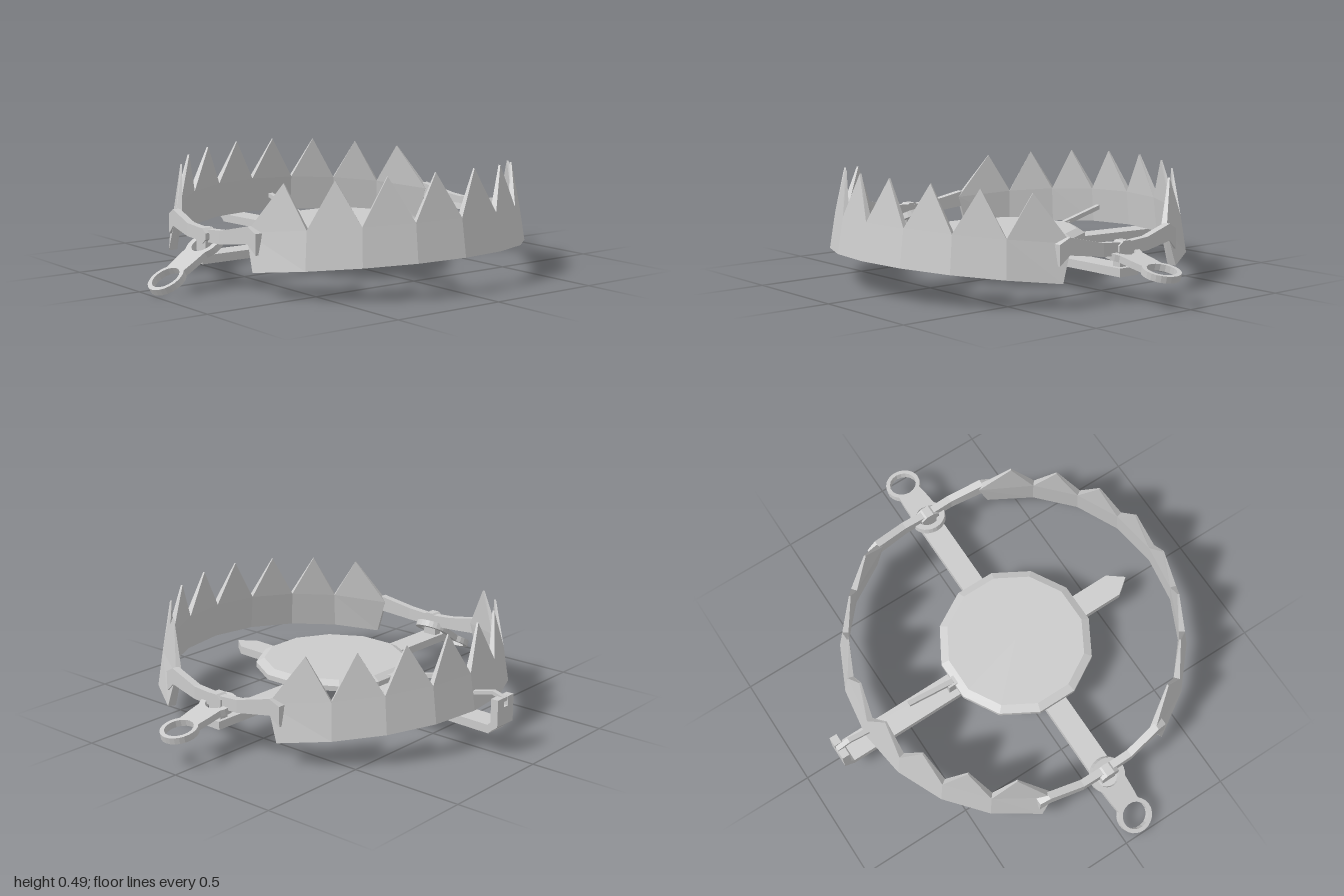
import * as THREE from 'three';

const CX = -0.015, CZ = 0.065; // centre of the jaw ring
const material = new THREE.MeshStandardMaterial({ color: 0xcccccc, flatShading: true, side: THREE.DoubleSide });

function add(parent, name, geometry, x = 0, y = 0, z = 0) {
  const mesh = new THREE.Mesh(geometry, material);
  mesh.name = name;
  mesh.position.set(x, y, z);
  parent.add(mesh);
  return mesh;
}

function box(parent, name, x0, x1, y0, y1, z0, z1) {
  return add(parent, name, new THREE.BoxGeometry(x1 - x0, y1 - y0, z1 - z0),
    (x0 + x1) / 2, (y0 + y1) / 2, (z0 + z1) / 2);
}

// Solid through a row of closed cross-sections, capped at both ends
function loft(sections) {
  const pos = [];
  const tri = (a, b, c) => pos.push(...a, ...b, ...c);
  const n = sections[0].length;
  for (let i = 0; i < sections.length - 1; i++) {
    for (let j = 0; j < n; j++) {
      const k = (j + 1) % n, s = sections[i], t = sections[i + 1];
      tri(s[j], s[k], t[k]);
      tri(s[j], t[k], t[j]);
    }
  }
  const first = sections[0], last = sections[sections.length - 1];
  for (let j = 1; j < n - 1; j++) {
    tri(first[0], first[j + 1], first[j]);
    tri(last[0], last[j], last[j + 1]);
  }
  const geometry = new THREE.BufferGeometry();
  geometry.setAttribute('position', new THREE.Float32BufferAttribute(pos, 3));
  geometry.computeVertexNormals();
  return geometry;
}

// Half ring with eight teeth and two hinge arms, opening toward +z
function makeJaw(name) {
  const jaw = new THREE.Group();
  jaw.name = name;
  const teeth = 8, R = 0.765, end = THREE.MathUtils.degToRad(66);
  const point = (a, r, h) => [Math.sin(a) * r, 0.07 + 0.105 * Math.cos(a) * R + h, Math.cos(a) * r];

  const wall = [];
  for (let i = 0; i <= teeth; i++) {
    const a = -end + (2 * end * i) / teeth;
    const top = i === 0 || i === teeth ? a * 1.05 : a; // slanted ends
    wall.push([point(a, R - 0.035, 0), point(top, R - 0.052, 0.155), point(top, R - 0.025, 0.155), point(a, R, 0)]);
  }
  add(jaw, 'jawBand', loft(wall));

  for (let i = 0; i < teeth; i++) {
    const [A, B] = [wall[i], wall[i + 1]];
    const a = -end + (2 * end * (i + 0.5)) / teeth;
    const outer = point(a, R - 0.06, 0.338), inner = point(a, R - 0.068, 0.338);
    add(jaw, 'tooth', loft([[A[1], A[2], B[2], B[1]], [inner, outer, outer, inner]]));
  }

  // Arm stations: outer x, z, bottom, top
  const stations = [[0.69, 0.32, 0.17, 0.255], [0.698, 0.275, 0.21, 0.28], [0.724, 0.12, 0.19, 0.245], [0.724, -0.02, 0.185, 0.235]];
  for (const side of [1, -1]) {
    const sections = stations.map(([x, z, y0, y1]) => {
      const loop = [[x - 0.033, y0, z], [x - 0.033, y1, z], [x, y1, z], [x, y0, z]].map(p => [p[0] * side, p[1], p[2]]);
      return side > 0 ? loop : loop.reverse();
    });
    add(jaw, 'hingeArm', loft(sections));
  }
  jaw.position.set(CX, 0, CZ);
  return jaw;
}

// Flat spring link with an eye at each end, lying along +x from its hinge
function springGeometry(length) {
  const r = 0.078, shape = new THREE.Shape();
  shape.absarc(0, 0, r, 0.9, Math.PI * 2 - 0.9, false);
  shape.lineTo(length * 0.5, -0.058);
  shape.absarc(length, 0, r, -Math.PI + 0.75, Math.PI - 0.75, false);
  shape.lineTo(length * 0.5, 0.058);
  shape.closePath();
  for (const [x, radius] of [[0, 0.052], [length, 0.06]]) {
    const hole = new THREE.Path();
    hole.absarc(x, 0, radius, 0, Math.PI * 2, true);
    shape.holes.push(hole);
  }
  const geometry = new THREE.ExtrudeGeometry(shape, { depth: 0.028, bevelEnabled: false, curveSegments: 9 });
  return geometry.translate(0, 0, -0.014).rotateX(-Math.PI / 2);
}

function makeSpring(name, x, y, tilt, yaw) {
  const spring = new THREE.Group();
  spring.name = name;
  add(spring, 'springLink', springGeometry(0.222)).rotation.z = -tilt;
  spring.rotation.y = yaw;
  spring.position.set(x, y, CZ + 0.003);
  return spring;
}

export function createModel() {
  const model = new THREE.Group();
  model.name = 'jawTrap';

  // Jaws
  const backJaw = makeJaw('backJaw');
  backJaw.rotation.y = Math.PI;
  model.add(makeJaw('frontJaw'), backJaw);

  // Base cross: side bar and long bar with a pointed front
  box(model, 'crossBar', -0.78, 0.735, 0.105, 0.14, 0.02, 0.122);
  const plan = new THREE.Shape([[-0.08, 0.8], [0.028, 0.8], [0.028, -0.59], [-0.026, -0.66], [-0.08, -0.59]]
    .map(p => new THREE.Vector2(...p)));
  const barGeometry = new THREE.ExtrudeGeometry(plan, { depth: 0.036, bevelEnabled: false }).rotateX(-Math.PI / 2);
  add(model, 'longBar', barGeometry, 0, 0.105, 0).rotation.x = -0.02;

  // Upturned rear end with a forked top
  const profile = [[0.089, -0.795], [0.125, -0.795], [0.14, -0.808], [0.2, -0.808], [0.2, -0.842], [0.125, -0.842]];
  const profileAt = x => profile.map(([y, z]) => [x, y, z]).reverse();
  add(model, 'rearUpright', loft([profileAt(-0.08), profileAt(0.028)]));
  box(model, 'rearFork', -0.08, -0.042, 0.2, 0.24, -0.842, -0.808);
  box(model, 'rearFork', -0.014, 0.028, 0.2, 0.24, -0.842, -0.808);

  // Latch over the rear jaw
  const latch = [[-0.66, 0.225], [-0.7, 0.235], [-0.78, 0.255], [-0.84, 0.238]];
  add(model, 'latch', loft(latch.map(([z, y]) =>
    [[-0.039, y - 0.016, z], [-0.039, y, z], [-0.017, y, z], [-0.017, y - 0.016, z]])));

  // Pressure plate, its post and the trigger rod
  const lower = new THREE.CylinderGeometry(0.34, 0.34, 0.022, 12).rotateY(Math.PI / 12);
  const upper = new THREE.CylinderGeometry(0.305, 0.34, 0.018, 12).rotateY(Math.PI / 12);
  add(model, 'pressurePlate', lower, -0.024, 0.181, 0.07);
  add(model, 'plateChamfer', upper, -0.024, 0.201, 0.07);
  box(model, 'triggerPost', -0.05, -0.01, 0.12, 0.2, -0.29, -0.245);
  add(model, 'triggerRod', loft([[-0.25, 0.19], [-0.48, 0.25]].map(([z, y]) =>
    [[-0.04, y - 0.012, z], [-0.04, y + 0.008, z], [-0.018, y + 0.008, z], [-0.018, y - 0.012, z]])));

  // Hinge posts through the spring eyes, with eight-sided heads
  for (const x of [-0.732, 0.692]) {
    box(model, 'hingePost', x - 0.02, x + 0.02, 0.12, 0.22, 0.035, 0.1);
    const head = new THREE.CylinderGeometry(0.045, 0.045, 0.05, 8).rotateY(Math.PI / 8).rotateZ(Math.PI / 2);
    add(model, 'hingeHead', head, x, 0.213, CZ + 0.003).scale.y = 0.75;
  }

  // Springs
  model.add(makeSpring('rightSpring', -0.735, 0.168, 0.54, Math.PI + 0.11));
  model.add(makeSpring('leftSpring', 0.69, 0.19, 0.22, 0));
  return model;
}
